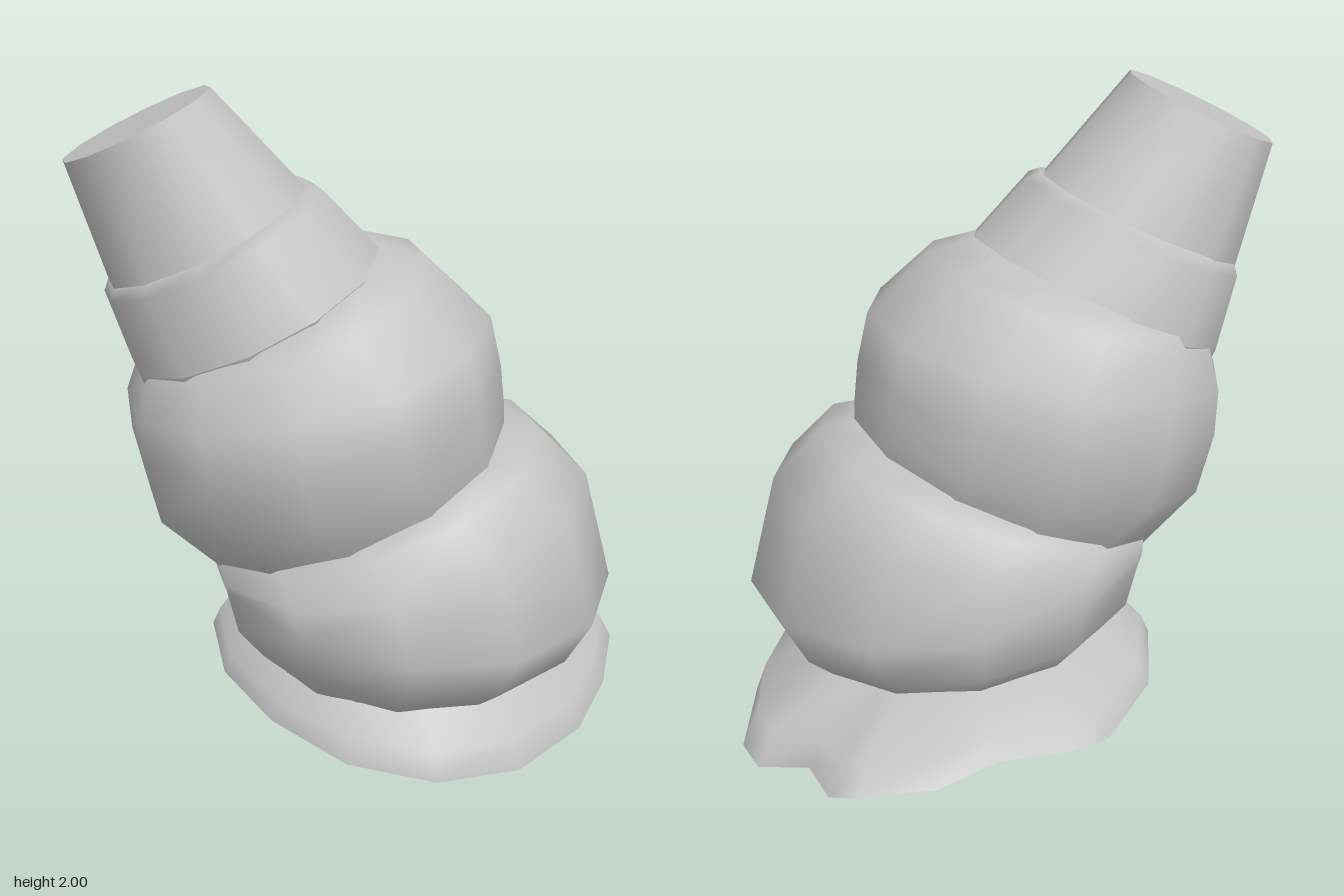
import * as THREE from 'three';

const SIDES = 12;
const TURN = 0.19; // rotation of the twelve-sided sections

// Tilted ring given by its four extremes: x-, y, x+, y, z-, y, z+, y
function ring(xa, ya, xb, yb, za, yc, zb, yd) {
  const cx = (xa + xb) / 2, cz = (za + zb) / 2;
  const cy = (ya + yb + yc + yd) / 4;
  const pts = [], k = 1 / Math.cos(TURN);
  for (let i = 0; i < SIDES; i++) {
    const a = TURN + (i / SIDES) * Math.PI * 2, c = Math.cos(a) * k, s = Math.sin(a) * k;
    pts.push(new THREE.Vector3(
      cx + c * (xb - xa) / 2,
      cy + c * (yb - ya) / 2 + s * (yd - yc) / 2,
      cz + s * (zb - za) / 2));
  }
  return pts;
}

function middle(pts) {
  return pts.reduce((m, p) => m.add(p), new THREE.Vector3()).divideScalar(pts.length);
}

// Shrink a ring towards its middle and shift it in height
function shrink(pts, k, dy = 0) {
  const m = middle(pts);
  return pts.map(p => { const q = m.clone().lerp(p, k); q.y += dy; return q; });
}

// Skin over closed rings; rings listed bottom to top face outwards
function loft(rings) {
  const n = rings[0].length, pos = [], idx = [];
  rings.forEach(r => r.forEach(p => pos.push(p.x, p.y, p.z)));
  for (let i = 0; i < rings.length - 1; i++) {
    for (let j = 0; j < n; j++) {
      const a = i * n + j, b = i * n + (j + 1) % n;
      idx.push(a, a + n, b, b, a + n, b + n);
    }
  }
  const g = new THREE.BufferGeometry();
  g.setAttribute('position', new THREE.Float32BufferAttribute(pos, 3));
  g.setIndex(idx);
  g.computeVertexNormals();
  return g;
}

export function createModel() {
  const group = new THREE.Group();
  group.name = 'spiralShell';
  const shellGrey = new THREE.MeshStandardMaterial({ color: 0xc4c4c4 });
  shellGrey.name = 'shellGrey';
  const add = (name, rings) => {
    const mesh = new THREE.Mesh(loft(rings), shellGrey);
    mesh.name = name;
    group.add(mesh);
  };

  // Whorls, from the widest at the bottom to the narrow tip
  const lower = [
    ring(-.48, .27, .49, .25, -.44, .32, .50, .22),
    ring(-.56, .38, .57, .33, -.52, .42, .60, .30),
    ring(-.60, .53, .635, .48, -.555, .57, .68, .45),
    ring(-.60, .58, .55, .80, -.55, .63, .62, .73),
    ring(-.58, .62, .42, .92, -.53, .68, .50, .88),
    ring(-.56, .64, .31, .94, -.50, .70, .40, .91),
  ];
  const middleWhorl = [
    ring(-.57, .61, .32, .92, -.52, .67, .42, .88),
    ring(-.73, .78, .335, 1.0, -.63, .82, .445, .98),
    ring(-.765, .98, .325, 1.15, -.665, 1.0, .445, 1.12),
    ring(-.77, 1.1, .295, 1.30, -.66, 1.15, .42, 1.27),
    ring(-.71, 1.20, .13, 1.47, -.61, 1.28, .27, 1.43),
    ring(-.67, 1.23, .0, 1.50, -.58, 1.32, .15, 1.48),
  ];
  const upper = [
    ring(-.71, 1.20, .0, 1.49, -.60, 1.27, .17, 1.46),
    ring(-.765, 1.43, -.14, 1.67, -.605, 1.47, .05, 1.65),
    ring(-.74, 1.47, -.17, 1.69, -.595, 1.51, .01, 1.67),
  ];
  const tip = [
    ring(-.74, 1.45, -.17, 1.67, -.595, 1.49, .01, 1.65),
    ring(-.82, 1.825, -.405, 1.975, -.615, 1.835, -.18, 1.97),
  ];
  add('lowerWhorl', [...lower, shrink(lower[5], 0.7)]);
  add('middleWhorl', [...middleWhorl, shrink(middleWhorl[5], 0.7)]);
  add('upperWhorl', [...upper, shrink(upper[2], 0.8)]);
  add('tip', tip);
  add('tipCap', [tip[1], shrink(tip[1], 0)]);
  // Tucked feet that close the seams between whorls
  add('middleFoot', [shrink(middleWhorl[0], 0.93, -.06), middleWhorl[0]]);
  add('upperFoot', [shrink(upper[0], 0.93, -.08), upper[0]]);

  // Flared lip with a wavy outline: x, z, y of its outer edge
  const edge = [
    [.73, 0, .09], [.79, .16, .05], [.74, .28, .045], [.5, .47, .045],
    [.25, .60, .04], [-.05, .64, .04], [-.3, .55, .06], [-.48, .35, .1],
    [-.555, .08, .15], [-.53, -.2, .18], [-.4, -.45, .2], [-.15, -.62, .2],
    [.15, -.68, .19], [.27, -.65, .2], [.45, -.5, .19], [.65, -.44, .18],
    [.8, -.26, .15], [.82, -.17, .12],
  ].map(([x, z, y]) => new THREE.Vector3(x, y, z));
  // Oval matching the foot of the lowest whorl, in the directions of the lip
  const oval = (k, dy) => edge.map(p => {
    const a = Math.atan2(p.z - .02, p.x), c = Math.cos(a), s = Math.sin(a);
    return new THREE.Vector3(c * .485 * k, .265 - c * .01 - s * .05 + dy, .03 + s * .47 * k);
  });
  const seam = oval(1, .01);
  // Rounded shoulder between the seam and the edge
  const shoulder = edge.map((p, i) => {
    const q = seam[i].clone().lerp(p, 0.82);
    return q.setY((seam[i].y + p.y) / 2);
  });
  const rim = shrink(edge, 0.89).map((p, i) =>
    p.setY(Math.max(0, edge[i].y - 0.045 + 0.035 * Math.max(0, edge[i].x))));
  add('lip', [edge, shoulder, seam]);
  add('lipEdge', [rim, edge]);
  add('lipUnderside', [oval(0.95, .02), oval(1, -.015), rim]);

  // Hollow inside, facing down and inwards
  const hollow = lower.slice(0, 4).map(r => shrink(r, 0.97)).reverse();
  const roof = shrink(hollow[0], 0.7, -.02);
  add('hollow', [shrink(roof, 0), roof, ...hollow]);

  return group;
}
